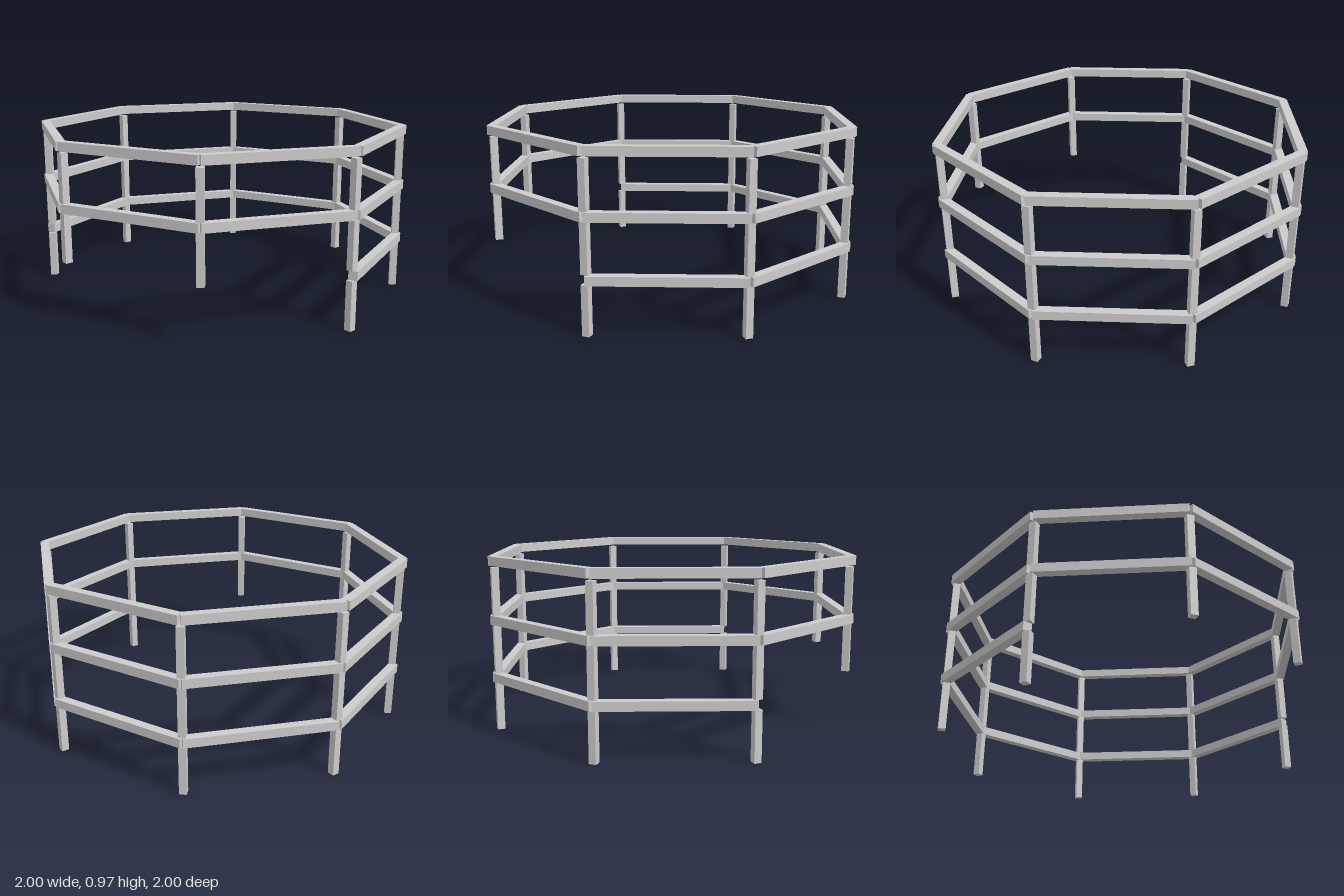
import * as THREE from 'three';

const SIDES = 8;
const STEP = (Math.PI * 2) / SIDES;
const RAIL_Y = [0.298, 0.621, 0.945];                       // rail centre heights
const POST_SPANS = [[0, 0.272], [0.325, 0.597], [0.646, 0.909]];

export function createModel() {
  const model = new THREE.Group();
  model.name = 'octagonalFence';
  const material = new THREE.MeshStandardMaterial({ color: 0xcccccc, flatShading: true });
  const railGeometry = new THREE.BoxGeometry(0.81, 0.05, 0.05);

  // Place a mesh on a circle, turned to face outward; angle 0 is the front
  const placeRadially = (geometry, name, angle, radius, y) => {
    const mesh = new THREE.Mesh(geometry, material);
    mesh.name = name;
    mesh.position.set(Math.sin(angle) * radius, y, Math.cos(angle) * radius);
    mesh.rotation.y = angle;
    model.add(mesh);
  };

  // Rails: the lowest row is left out on the front and its two diagonals
  const rowNames = ['lowerRail', 'middleRail', 'topRail'];
  RAIL_Y.forEach((y, row) => {
    for (let i = 0; i < SIDES; i++) {
      const isEntrance = i === 0 || i === 1 || i === SIDES - 1;
      if (row === 0 && isEntrance) continue;
      placeRadially(railGeometry, rowNames[row], i * STEP, 0.975, y);
    }
  });

  // Corner posts in sections between rails: the two front ones stop short of the ground
  const postNames = ['lowerPost', 'middlePost', 'upperPost'];
  POST_SPANS.forEach(([bottom, top], row) => {
    const postGeometry = new THREE.BoxGeometry(0.04, top - bottom, 0.04);
    for (let i = 0; i < SIDES; i++) {
      const isFront = i === 0 || i === SIDES - 1;
      if (row === 0 && isFront) continue;
      placeRadially(postGeometry, postNames[row], (i + 0.5) * STEP, 1.047, (bottom + top) / 2);
    }
  });

  return model;
}
